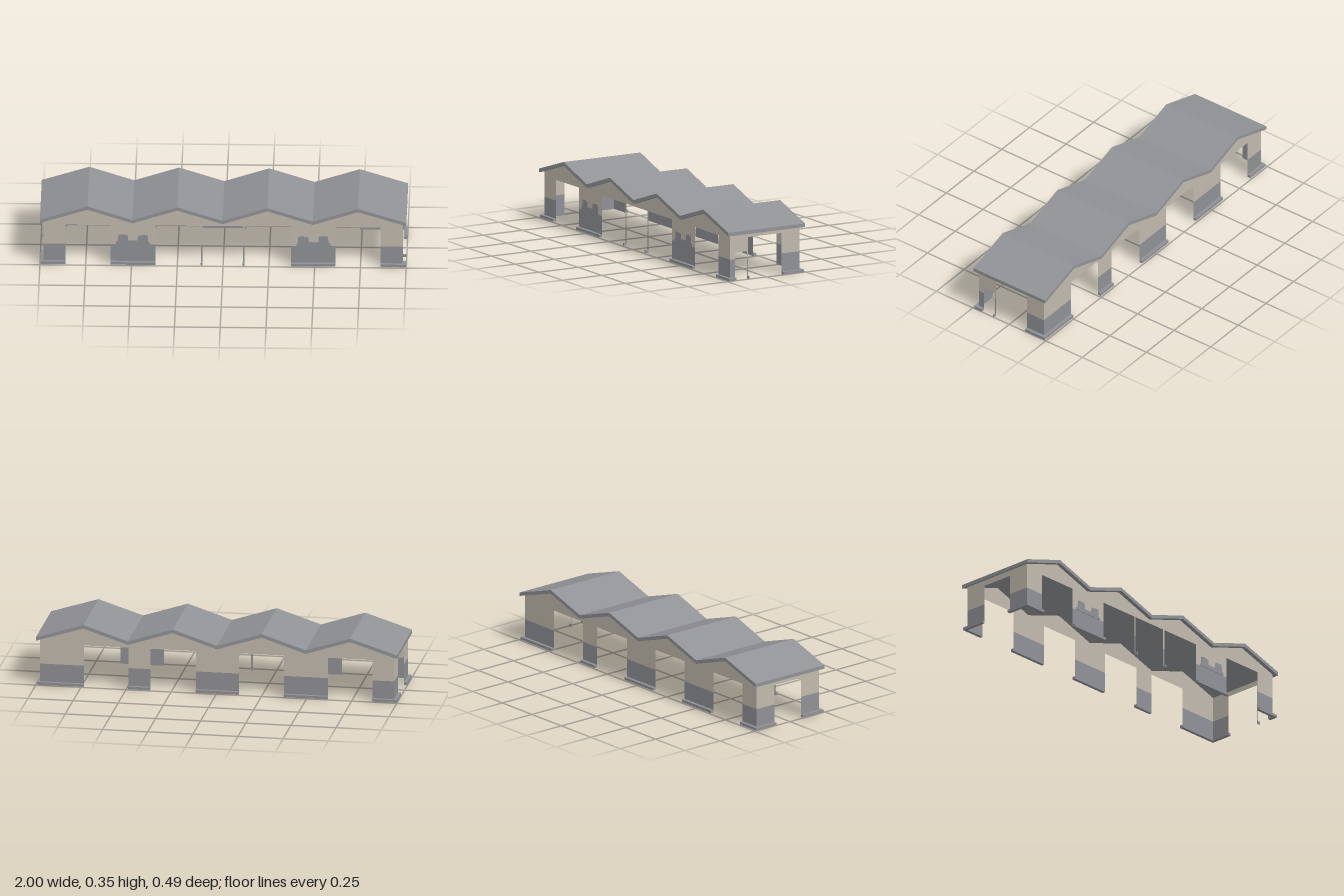
import * as THREE from 'three';

const mat = (name, color, side = THREE.FrontSide) => {
  const m = new THREE.MeshStandardMaterial({ color, side });
  m.name = name;
  return m;
};

export function createModel() {
  const model = new THREE.Group();
  model.name = 'longShelter';
  const roofGrey = mat('roofGrey', 0x919296);
  const plinthGrey = mat('plinthGrey', 0x8f9095);
  const lowerGrey = mat('lowerWallGrey', 0x8f9095, THREE.DoubleSide);
  const beige = mat('upperWallBeige', 0xc0b8ac, THREE.DoubleSide);

  const BAND = 0.116, BASE = 0.015, OUT = 0.018, WX = 0.98, WZ = 0.222;

  const add = (parent, geo, material, name) => {
    const mesh = new THREE.Mesh(geo, material);
    mesh.name = name;
    parent.add(mesh);
    return mesh;
  };
  const polygon = pts => new THREE.Shape(pts.map(p => new THREE.Vector2(p[0], p[1])));
  const sheet = (parent, u0, u1, y0, y1, material, name) =>
    add(parent, new THREE.PlaneGeometry(u1 - u0, y1 - y0), material, name)
      .position.set((u0 + u1) / 2, (y0 + y1) / 2, 0);

  // Folded roof: four ridges, constant vertical thickness
  const ridge = [[-1, 0.272], [-0.74, 0.355], [-0.495, 0.275], [-0.25, 0.355], [-0.003, 0.275],
    [0.242, 0.355], [0.49, 0.275], [0.737, 0.355], [1, 0.272]];
  const under = ridge.map(([x, y]) => [x, y - 0.02]);
  const roofGeo = new THREE.ExtrudeGeometry(polygon([...under, ...ridge.slice().reverse()]),
    { depth: 0.49, bevelEnabled: false });
  roofGeo.translate(0, 0, -0.245);
  add(model, roofGeo, roofGrey, 'foldedRoof');

  // One two-tone wall in local (u, y), its outside facing local +z
  const wall = (name, piers, openTop, top, half) => {
    const g = new THREE.Group();
    g.name = name;
    add(g, new THREE.ShapeGeometry(polygon([[-half, openTop], [half, openTop], ...top.slice().reverse()])),
      beige, 'header');
    for (const [u0, u1] of piers) {
      sheet(g, u0, u1, 0, BAND, lowerGrey, 'pierLower');
      sheet(g, u0, u1, BAND, openTop, beige, 'pierUpper');
      // plinth runs around the building corners
      const a = u0 <= -half ? u0 - OUT : u0, b = u1 >= half ? u1 + OUT : u1;
      add(g, new THREE.BoxGeometry(b - a, BASE, OUT), plinthGrey, 'plinth')
        .position.set((a + b) / 2, BASE / 2, OUT / 2);
    }
    model.add(g);
    return g;
  };

  // Long walls: tops follow the underside of the roof
  const topFront = under.map(([x, y], i) =>
    i === 0 || i === under.length - 1 ? [Math.sign(x) * WX, y + 0.008] : [x, y + 0.003]);
  const topBack = topFront.map(([x, y]) => [-x, y]).reverse();

  const front = wall('frontWall', [[-WX, -0.86], [-0.615, -0.37], [-0.122, -0.112],
    [0.107, 0.117], [0.37, 0.612], [0.86, WX]], 0.232, topFront, WX);
  front.position.z = WZ;

  const back = wall('backWall', [[-WX, -0.737], [-0.49, -0.37], [-0.117, 0.122],
    [0.37, 0.615], [0.86, WX]], 0.232, topBack, WX);
  back.rotation.y = Math.PI;
  back.position.z = -WZ;

  // End walls
  const topEnd = [[-WZ, 0.26], [WZ, 0.26]];
  const right = wall('rightEndWall', [[-WZ, -0.19], [-0.112, -0.107], [0.107, WZ]], 0.23, topEnd, WZ);
  right.rotation.y = Math.PI / 2;
  right.position.x = WX;
  sheet(right, -0.19, -0.112, 0.152, 0.23, beige, 'sideDoorHeader');

  const left = wall('leftEndWall', [[-WZ, -0.095], [0.095, WZ]], 0.226, topEnd, WZ);
  left.rotation.y = -Math.PI / 2;
  left.position.x = -WX;

  // Grey painted window patches, seen from both sides of the front piers
  const outer = [[-0.585, BAND], [-0.52, BAND], [-0.52, 0.17], [-0.53, 0.176], [-0.57, 0.176],
    [-0.575, 0.14], [-0.585, 0.13]];
  const inner = [[-0.52, BAND], [-0.4, BAND], [-0.4, 0.125], [-0.41, 0.135], [-0.41, 0.17],
    [-0.43, 0.176], [-0.45, 0.17], [-0.465, 0.17], [-0.468, 0.14], [-0.52, 0.14]];
  for (const s of [1, -1]) {
    for (const pts of [outer, inner]) {
      const list = pts.map(([x, y]) => [x * s, y]);
      const geo = new THREE.ExtrudeGeometry(polygon(list), { depth: 0.006, bevelEnabled: false });
      add(model, geo, lowerGrey, 'windowPatch').position.z = WZ - 0.003;
    }
  }
  return model;
}
